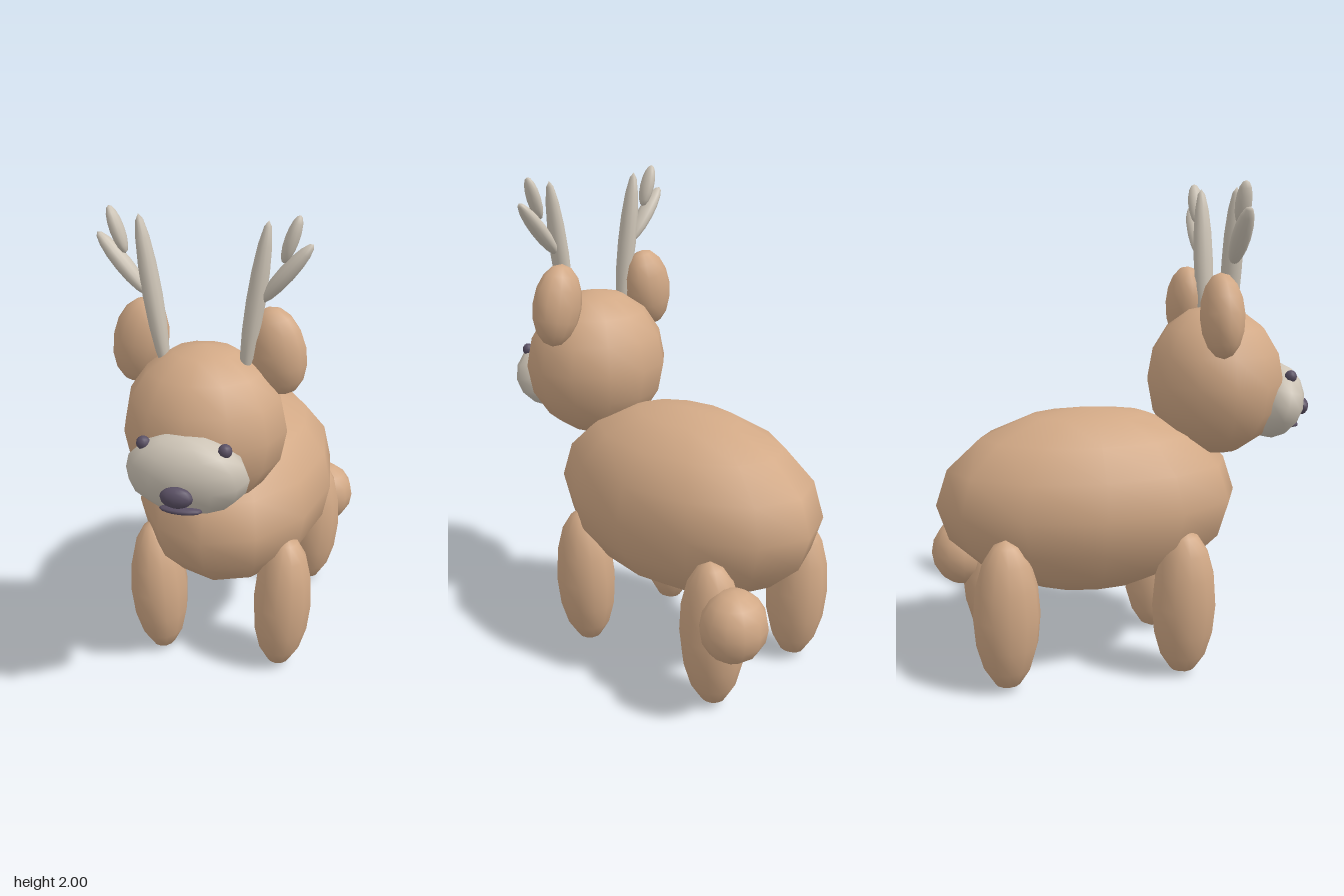
import * as THREE from 'three';

const AXIS = -0.018; // x of the animal's mirror plane; the side-set tail shifts it

export function createModel() {
  const group = new THREE.Group();
  const material = (name, color) => {
    const m = new THREE.MeshStandardMaterial({ color });
    m.name = name;
    return m;
  };
  const tan = material('tan fur', 0xd2a986);
  const cream = material('cream', 0xcdc4b6);
  const dark = material('dark violet', 0x5a5064);

  // Every part is a coarse smooth ellipsoid: centre, radii, tilt about x and z
  const ball = new THREE.SphereGeometry(1, 12, 8);
  function blob(name, mat, [x, y, z], radii, tiltX = 0, tiltZ = 0) {
    const mesh = new THREE.Mesh(ball, mat);
    mesh.name = name;
    mesh.position.set(AXIS + x, y, z);
    mesh.scale.set(...radii);
    mesh.rotation.set(tiltX, 0, tiltZ);
    group.add(mesh);
  }
  // Mirrored left and right copies
  function pair(name, mat, [x, y, z], radii, tiltZ = 0) {
    for (const [side, s] of [['left', 1], ['right', -1]]) {
      blob(side + name, mat, [s * x, y, z], radii, 0, s * tiltZ);
    }
  }

  // Trunk and head
  blob('body', tan, [0, 0.71, -0.156], [0.407, 0.385, 0.634]);
  blob('head', tan, [0, 1.19, 0.384], [0.317, 0.315, 0.288]);
  blob('tail', tan, [0.3, 0.415, -0.672], [0.137, 0.146, 0.132]);

  // Face
  blob('muzzle', cream, [0, 1.095, 0.634], [0.234, 0.163, 0.127], 0.25);
  blob('nose', dark, [0, 1.064, 0.772], [0.062, 0.04, 0.032]);
  blob('mouth', dark, [0, 0.991, 0.722], [0.082, 0.015, 0.031]);
  pair('Eye', dark, [0.152, 1.215, 0.668], [0.026, 0.026, 0.025]);

  // Ears
  pair('Ear', tan, [0.263, 1.483, 0.331], [0.11, 0.17, 0.088], 0.2);

  // Antlers: a long beam, a side branch and a small tine
  pair('AntlerBeam', cream, [0.193, 1.68, 0.388], [0.036, 0.3, 0.043], -0.152);
  pair('AntlerBranch', cream, [0.302, 1.79, 0.388], [0.031, 0.146, 0.04], -0.7);
  pair('AntlerTine', cream, [0.32, 1.914, 0.388], [0.026, 0.09, 0.034], -0.33);

  // Legs
  pair('FrontLeg', tan, [0.272, 0.315, 0.185], [0.123, 0.312, 0.134], -0.05);
  pair('BackLeg', tan, [0.272, 0.32, -0.54], [0.123, 0.315, 0.134], -0.05);

  return group;
}
